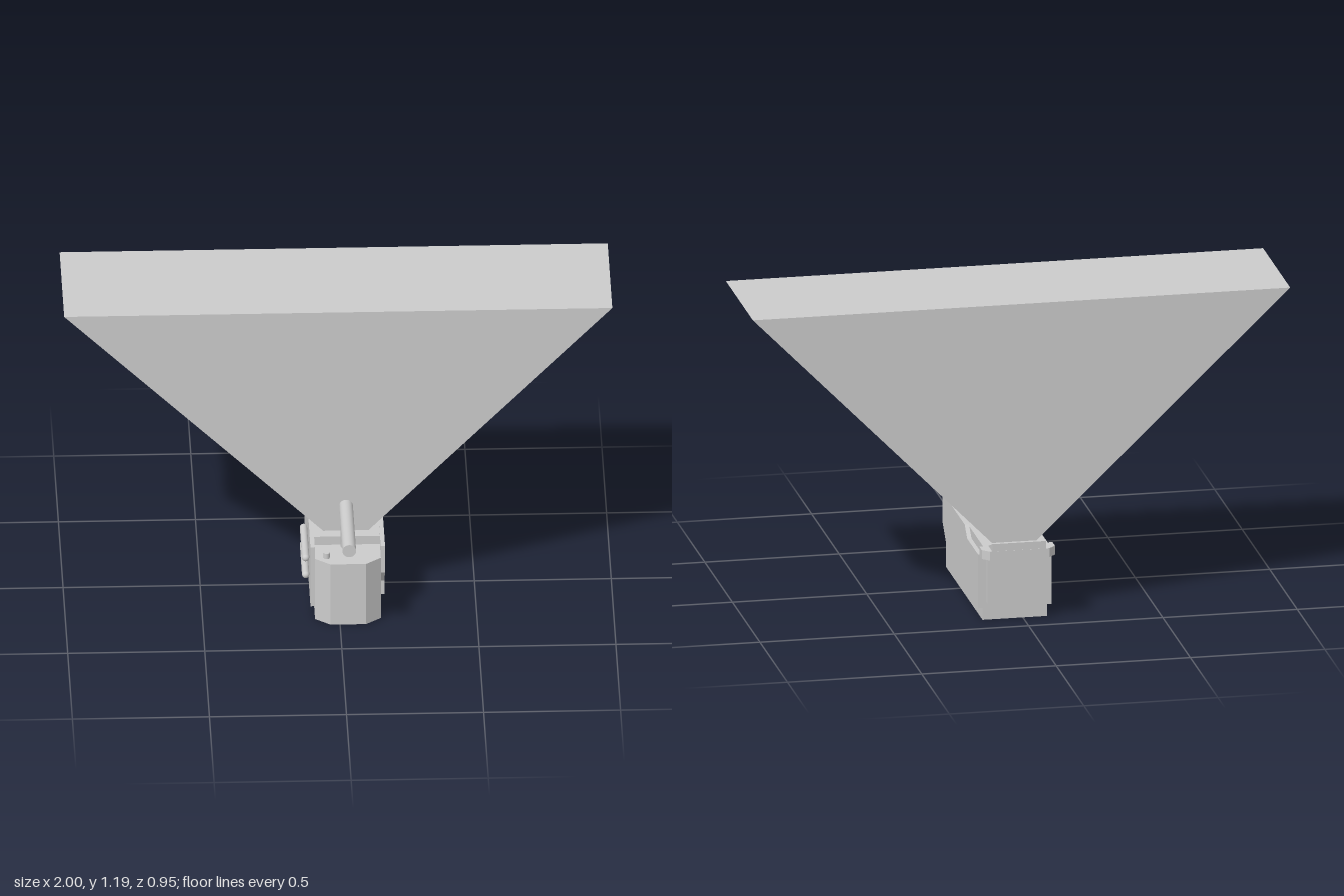
import * as THREE from 'three';

const CX = 0.03; // centre line of the housing

export function createModel() {
  const model = new THREE.Group();
  const material = new THREE.MeshStandardMaterial({ color: 0xcccccc, flatShading: true });
  const smooth = new THREE.MeshStandardMaterial({ color: 0xcccccc });

  function add(name, geometry, x = 0, y = 0, z = 0, mat = material) {
    const mesh = new THREE.Mesh(geometry, mat);
    mesh.name = name;
    mesh.position.set(x, y, z);
    model.add(mesh);
    return mesh;
  }
  const shape = pts => new THREE.Shape(pts.map(p => new THREE.Vector2(...p)));
  const extrude = (s, depth) => new THREE.ExtrudeGeometry(s, { depth, bevelEnabled: false });
  // outline in (x, z), extruded upwards from y0 to y1
  const upright = (pts, y0, y1) =>
    extrude(shape(pts.map(([x, z]) => [x, -z])), y1 - y0).rotateX(-Math.PI / 2).translate(0, y0, 0);
  // outline in (z, y), extruded along x from x0 to x1
  const sideways = (pts, x0, x1) =>
    extrude(shape(pts.map(([z, y]) => [-z, y])), x1 - x0).rotateY(Math.PI / 2).translate(x0, 0, 0);

  // Housing with a chamfered nose, and its raised top
  add('housing', upright([
    [-0.09, -0.395], [0.15, -0.395], [0.15, 0.27], [0.095, 0.315], [-0.035, 0.315], [-0.09, 0.27],
  ], 0, 0.25));
  add('housingTop', new THREE.BoxGeometry(0.24, 0.034, 0.57), CX, 0.267, -0.12);

  // Side panels: the left one is cut away at the lower front
  const rear = [[-0.395, 0.045], [-0.395, 0.25], [-0.195, 0.25], [-0.15, 0.29], [0.255, 0.29]];
  add('leftPanel', sideways([...rear, [0.255, 0.18], [0.17, 0.1], [0.17, 0.045]], 0.15, 0.166));
  add('rightPanel', sideways([...rear, [0.255, 0.045]], -0.106, -0.09));

  // Grip bars on the right panel
  for (const y of [0.12, 0.19]) {
    const bar = new THREE.CapsuleGeometry(0.0135, 0.23, 6, 16).rotateX(Math.PI / 2);
    add('gripBar', bar, -0.12, y, 0.035, smooth);
  }

  // Back plate and the ledge above it
  add('backPlate', new THREE.BoxGeometry(0.215, 0.18, 0.026), CX, 0.16, -0.408);
  add('backLedge', upright([
    [-0.108, -0.405], [-0.108, -0.45], [-0.082, -0.476], [0.138, -0.476], [0.164, -0.45], [0.164, -0.405],
  ], 0.25, 0.284));

  // Sloping hollow frame on the ledge
  const frame = shape([[-0.1, -0.035], [0.1, -0.035], [0.1, 0.035], [-0.1, 0.035]]);
  frame.holes.push(new THREE.Path([[-0.087, -0.02], [-0.087, 0.024], [0.087, 0.024], [0.087, -0.02]]
    .map(p => new THREE.Vector2(...p))));
  const frameGeometry = extrude(frame, 1).rotateX(-Math.PI / 2);
  const pos = frameGeometry.attributes.position;
  for (let i = 0; i < pos.count; i++) {
    if (pos.getY(i) > 0.5) pos.setY(i, 0.002 + 0.027 * (0.035 - pos.getZ(i)) / 0.07);
  }
  frameGeometry.computeVertexNormals();
  add('backFrame', frameGeometry, CX, 0.283, -0.44);

  // Large flared fan rising from the top
  add('fan', extrude(shape([[-0.055, 0.284], [0.11, 0.284], [1, 1.19], [-1, 1.19]]), 0.492), 0, 0, -0.372);

  // Handle on its post, and the small button beside it
  add('handlePost', new THREE.BoxGeometry(0.042, 0.13, 0.044), 0.028, 0.315, 0.167);
  add('handle', new THREE.CylinderGeometry(0.025, 0.025, 0.345, 32).rotateX(Math.PI / 2), 0.028, 0.392, 0.303, smooth);
  add('button', new THREE.CylinderGeometry(0.011, 0.011, 0.022, 20), -0.047, 0.26, 0.263, smooth);

  return model;
}
